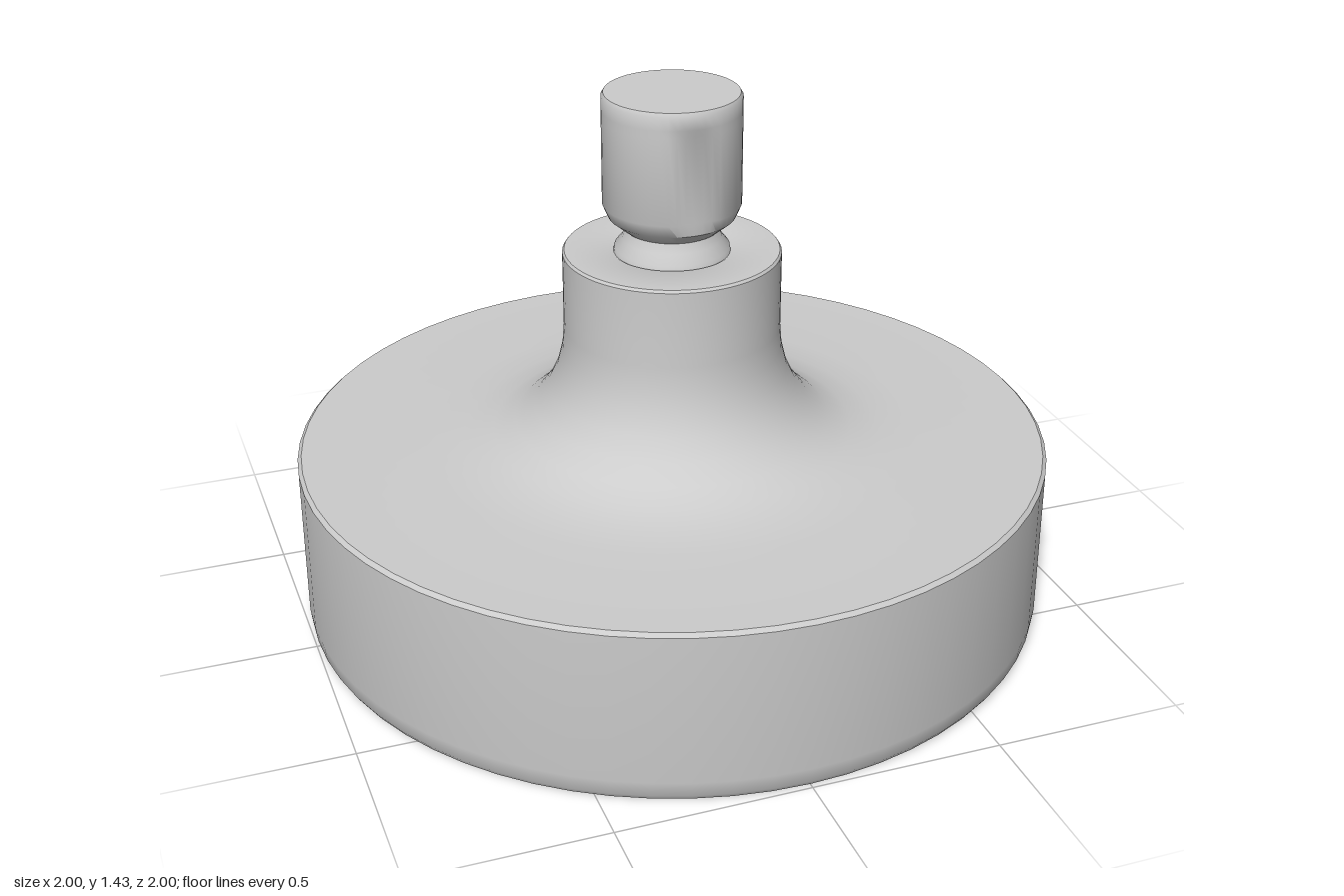
import * as THREE from 'three';
import { toCreasedNormals } from 'three/addons/utils/BufferGeometryUtils.js';

const material = new THREE.MeshStandardMaterial({ color: 0xcccccc });

function addMesh(parent, name, geometry) {
  const mesh = new THREE.Mesh(geometry, material);
  mesh.name = name;
  parent.add(mesh);
  return mesh;
}

// Revolve [radius, height] pairs, listed from the bottom centre outward and up
function lathe(profile, segments) {
  return new THREE.LatheGeometry(profile.map(([r, y]) => new THREE.Vector2(r, y)), segments);
}

export function createModel() {
  const model = new THREE.Group();
  model.name = 'showerHead';

  // Head: recessed spray plate, thin rim, drum wall, flared shoulder and collar
  const head = lathe([
    [0, 0.06], [0.83, 0.06], [0.89, 0.05], [0.93, 0.03], [0.95, 0.005],
    [0.985, 0.005], [0.995, 0.02], [1, 0.06], [1, 0.465], [0.99, 0.475],
    [0.66, 0.475], [0.56, 0.484], [0.48, 0.503], [0.42, 0.532], [0.37, 0.573],
    [0.33, 0.625], [0.305, 0.68], [0.29, 0.74], [0.285, 0.8],
    [0.285, 1.005], [0.28, 1.012], [0.16, 1.012], [0.14, 1.0], [0, 1.0],
  ], 64);
  addMesh(model, 'head', toCreasedNormals(head, 0.6));

  // Swivel neck between collar and connector
  const neck = lathe([
    [0, 0.99], [0.155, 0.99], [0.15, 1.02], [0.13, 1.045], [0.12, 1.075], [0, 1.075],
  ], 32);
  addMesh(model, 'swivelNeck', toCreasedNormals(neck, 0.7));

  // Connector with wrench flats on its front and back, below a round lip
  const connector = lathe([
    [0, 1.06], [0.1, 1.06], [0.125, 1.072], [0.165, 1.105], [0.18, 1.14],
    [0.18, 1.37], [0.18, 1.39], [0.18, 1.425], [0.174, 1.435], [0, 1.435],
  ], 48);
  const pos = connector.attributes.position;
  for (let i = 0; i < pos.count; i++) {
    if (pos.getY(i) < 1.38) pos.setZ(i, THREE.MathUtils.clamp(pos.getZ(i), -0.168, 0.168));
  }
  addMesh(model, 'connector', toCreasedNormals(connector, 0.6));

  // Spray nozzles in concentric rings: [ring radius, count]
  const nozzles = new THREE.Group();
  nozzles.name = 'nozzles';
  model.add(nozzles);
  const nozzle = new THREE.CylinderGeometry(0.016, 0.012, 0.03, 10);
  for (const [radius, count] of [[0.2, 6], [0.37, 12], [0.54, 18], [0.69, 24]]) {
    for (let i = 0; i < count; i++) {
      const a = ((i + 0.5) / count) * Math.PI * 2;
      addMesh(nozzles, 'nozzle', nozzle)
        .position.set(radius * Math.cos(a), 0.053, radius * Math.sin(a));
    }
  }
  return model;
}
